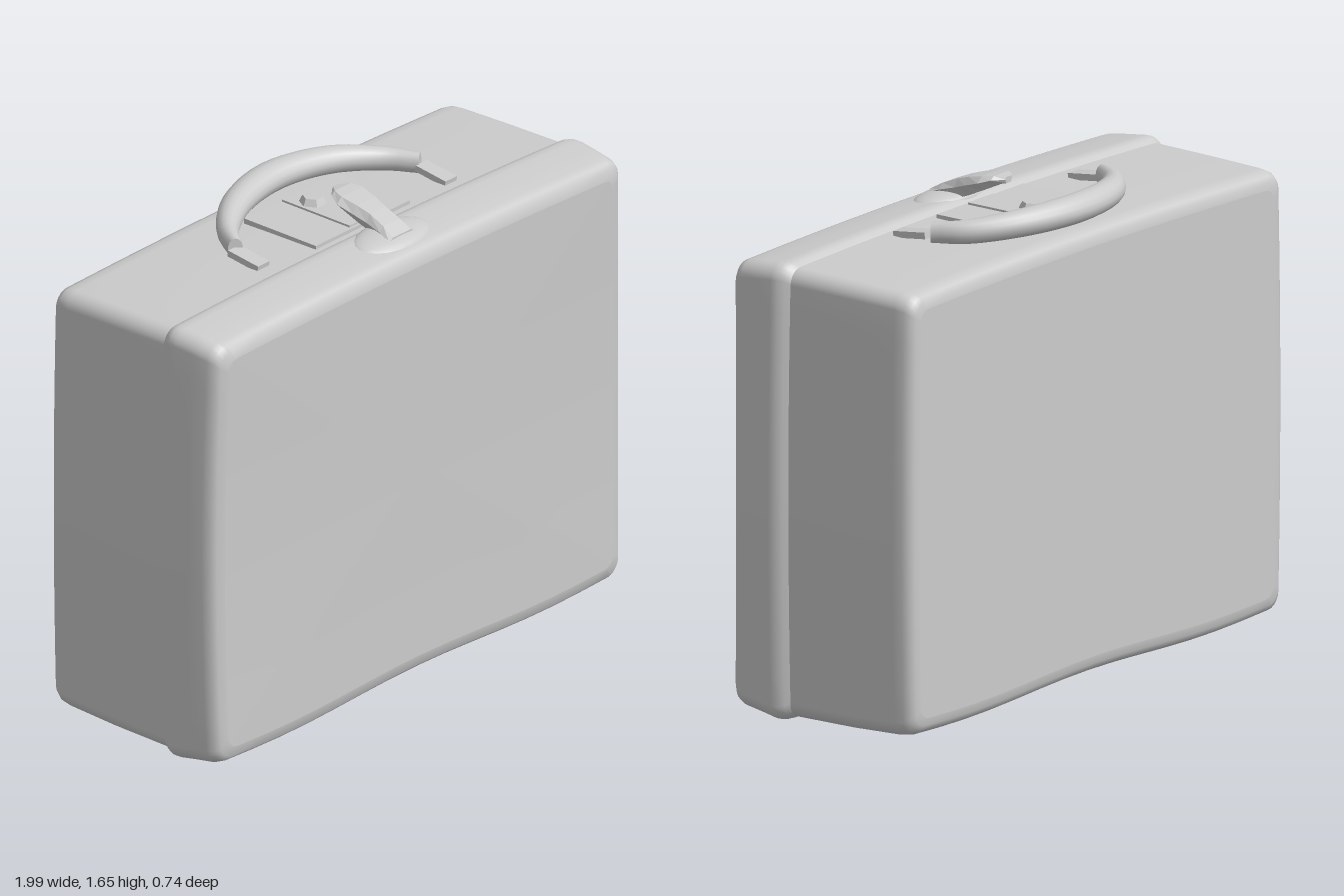
import * as THREE from 'three';

const V = (x, y, z) => new THREE.Vector3(x, y, z);
const material = new THREE.MeshStandardMaterial({ color: 0xcccccc, side: THREE.DoubleSide });
const flatMaterial = new THREE.MeshStandardMaterial({ color: 0xcccccc, side: THREE.DoubleSide, flatShading: true });

// Skin a list of closed rings and close both ends with flat caps
function loft(rings) {
  const n = rings[0].length, pos = [], idx = [];
  const push = (p) => pos.push(p.x, p.y, p.z);
  rings.forEach((r) => r.forEach(push));
  for (let i = 0; i < rings.length - 1; i++) {
    for (let j = 0; j < n; j++) {
      const k = (j + 1) % n, a = i * n + j, b = i * n + k;
      idx.push(a, b, b + n, a, b + n, a + n);
    }
  }
  [rings[0], rings[rings.length - 1]].forEach((ring, end) => {
    const base = pos.length / 3;
    ring.forEach(push);
    push(ring.reduce((s, p) => s.add(p), V(0, 0, 0)).divideScalar(n));
    for (let j = 0; j < n; j++) {
      const k = (j + 1) % n;
      if (end) idx.push(base + n, base + j, base + k);
      else idx.push(base + n, base + k, base + j);
    }
  });
  const g = new THREE.BufferGeometry();
  g.setAttribute('position', new THREE.Float32BufferAttribute(pos, 3));
  g.setIndex(idx);
  g.computeVertexNormals();
  return g;
}

// Rounded rectangle ring, counter-clockwise, with subdivided straight edges
function caseRing([z, x0, x1, y0, y1, r]) {
  const pts = [], steps = 5, cuts = 14;
  const corners = [[x1 - r, y0 + r], [x1 - r, y1 - r], [x0 + r, y1 - r], [x0 + r, y0 + r]];
  corners.forEach(([cx, cy], c) => {
    for (let s = 0; s <= steps; s++) {
      const a = (c - 1 + s / steps) * Math.PI / 2;
      pts.push(V(cx + r * Math.cos(a), cy + r * Math.sin(a), z));
    }
    const [nx, ny] = corners[(c + 1) % 4];
    const a = c * Math.PI / 2, last = pts[pts.length - 1].clone();
    const next = V(nx + r * Math.cos(a), ny + r * Math.sin(a), z);
    for (let s = 1; s < cuts; s++) pts.push(last.clone().lerp(next, s / cuts));
  });
  return pts.map(wear);
}

// Slightly sagging, bowed leather
function wear(p) {
  const h = (p.y - 0.78) / 0.76, t = THREE.MathUtils.clamp(p.y / 1.55, 0, 1);
  const front = p.z > 0.3 ? 0.012 * h * h - 0.006 : 0;
  return V(
    p.x * (1 - 0.013 * h * h),
    p.y - 0.02 * p.x * p.x * t + 0.01 * (1 + Math.cos(5.07 * p.x)) * (1 - t),
    p.z + 0.008 * p.x + front
  );
}

export function createModel() {
  const model = new THREE.Group();
  const add = (name, geometry, mat = material, parent = model) => {
    const mesh = new THREE.Mesh(geometry, mat);
    mesh.name = name;
    parent.add(mesh);
    return mesh;
  };

  // Case: back shell, then the slightly larger front lid [z, x0, x1, y0, y1, corner radius]
  add('backShell', loft([
    [-0.361, -0.93, 0.91, 0.09, 1.48, 0.04],
    [-0.358, -0.955, 0.93, 0.065, 1.505, 0.045],
    [-0.347, -0.972, 0.947, 0.045, 1.522, 0.05],
    [-0.325, -0.983, 0.957, 0.033, 1.532, 0.05],
    [-0.29, -0.985, 0.96, 0.027, 1.536, 0.05],
    [-0.1, -0.986, 0.963, 0.018, 1.541, 0.05],
    [0.16, -0.986, 0.966, 0.014, 1.545, 0.05],
  ].map(caseRing)));
  add('frontLid', loft([
    [0.125, -0.984, 0.962, 0.02, 1.54, 0.05],
    [0.145, -0.994, 0.978, 0.009, 1.556, 0.05],
    [0.165, -1.0, 0.99, 0.002, 1.561, 0.05],
    [0.19, -0.999, 0.994, 0.002, 1.56, 0.05],
    [0.25, -0.993, 0.99, 0.012, 1.553, 0.05],
    [0.31, -0.988, 0.986, 0.022, 1.544, 0.05],
    [0.336, -0.978, 0.978, 0.032, 1.534, 0.05],
    [0.352, -0.962, 0.962, 0.047, 1.518, 0.05],
    [0.358, -0.93, 0.93, 0.08, 1.485, 0.04],
  ].map(caseRing)));

  // Arched carrying handle, thick in the middle and folded back over the top
  const arc = new THREE.CatmullRomCurve3([
    V(0.44, 1.568, -0.035), V(0.38, 1.575, -0.135), V(0.23, 1.59, -0.24), V(0.01, 1.597, -0.287),
    V(-0.21, 1.59, -0.245), V(-0.36, 1.575, -0.15), V(-0.43, 1.568, -0.055),
  ]);
  const handleRings = [];
  for (let i = 0; i <= 32; i++) {
    const u = i / 32, c = arc.getPointAt(u), t = arc.getTangentAt(u);
    const side = V(t.z, 0, -t.x).normalize(), swell = Math.sin(Math.PI * u);
    const w = 0.025 + 0.032 * swell, h = 0.036 + 0.012 * swell;
    handleRings.push(Array.from({ length: 16 }, (_, j) => {
      const a = -j / 16 * Math.PI * 2;
      return c.clone().addScaledVector(side, w * Math.cos(a)).add(V(0, h * Math.sin(a), 0));
    }));
  }
  add('handle', loft(handleRings));

  // Strap tabs joining the handle ends to the case
  [[-0.434, 0.005], [0.439, 0.035]].forEach(([x, z]) => {
    const tab = add('handleTab', new THREE.BoxGeometry(0.056, 0.022, 0.13));
    tab.position.set(x, 1.553, z);
    tab.rotation.x = 0.13;
  });

  // Lock plate with a raised middle strip and a hexagonal stud
  const lock = new THREE.Group();
  lock.name = 'lock';
  model.add(lock);
  add('lockPlate', new THREE.BoxGeometry(0.455, 0.026, 0.31), material, lock).position.set(0.003, 1.543, -0.047);
  add('lockStrip', new THREE.BoxGeometry(0.13, 0.012, 0.29), material, lock).position.set(0.015, 1.557, -0.047);
  add('lockStud', new THREE.CylinderGeometry(0.034, 0.047, 0.026, 6).rotateY(Math.PI / 6), flatMaterial, lock)
    .position.set(0.003, 1.573, -0.107);

  // Oval mount on the lid: a shallow dome
  const mount = add('claspMount', new THREE.SphereGeometry(1, 20, 6, 0, Math.PI * 2, 0, Math.PI / 2), material);
  mount.scale.set(0.165, 0.03, 0.09);
  mount.position.set(0.003, 1.545, 0.23);
  mount.rotation.x = 0.1;

  // Flap latch rising toward the back [z, half width, bottom y, top y]
  const flapRings = [
    [-0.01, 0.018, 1.632, 1.653], [0.02, 0.055, 1.627, 1.657], [0.06, 0.073, 1.603, 1.652],
    [0.12, 0.063, 1.575, 1.638], [0.17, 0.054, 1.555, 1.622], [0.23, 0.056, 1.55, 1.597],
    [0.275, 0.062, 1.545, 1.572],
  ].map(([z, w, y0, y1]) => {
    const m = y0 + (y1 - y0) * 0.6;
    return [[-0.6, y0], [0.6, y0], [1, m], [0.7, y1], [-0.7, y1], [-1, m]].map(([s, y]) => V(0.005 + s * w, y, z));
  });
  add('claspFlap', loft(flapRings), flatMaterial);

  return model;
}
